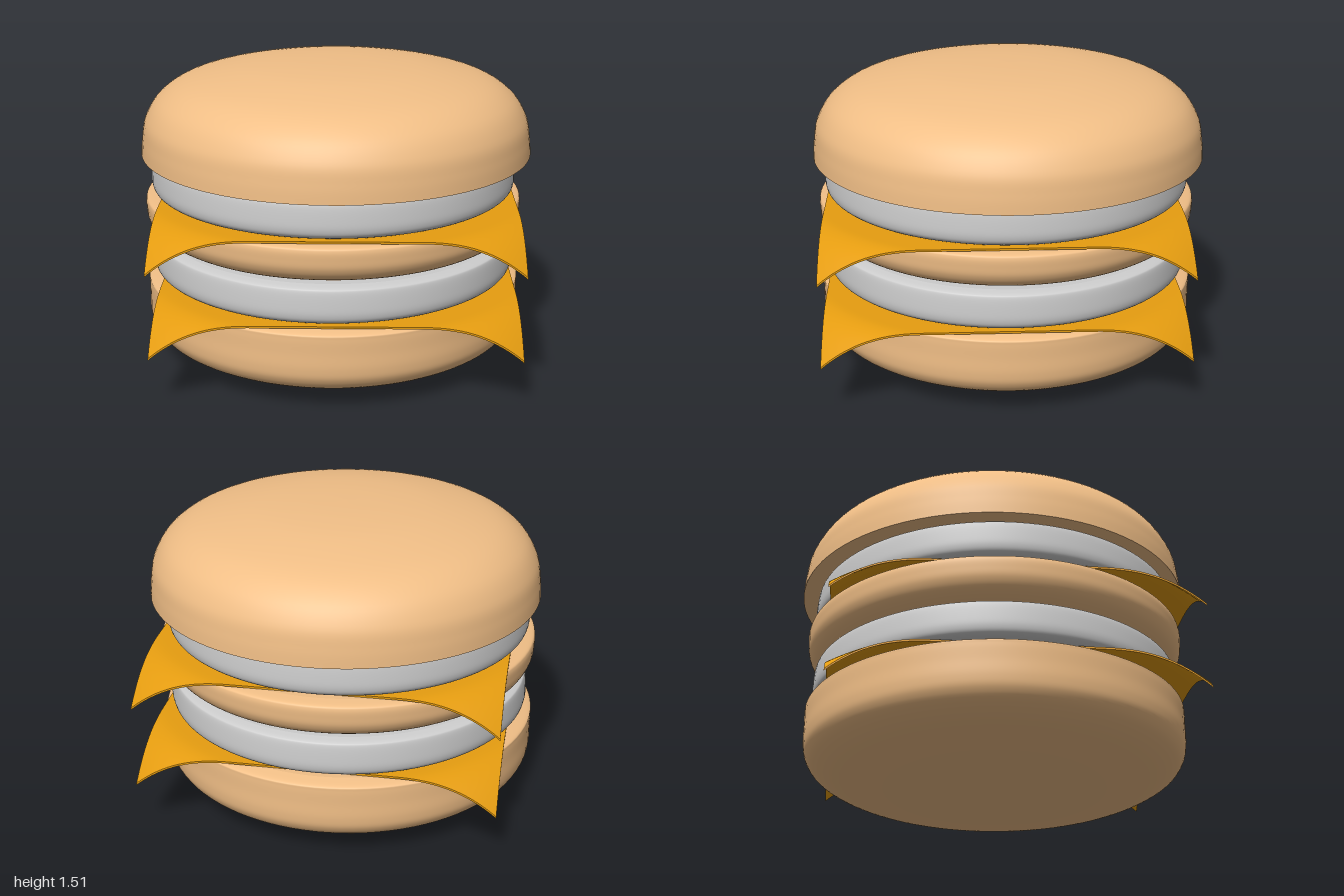
import * as THREE from 'three';
import { mergeGeometries } from 'three/addons/utils/BufferGeometryUtils.js';

const bun = new THREE.MeshStandardMaterial({ color: 0xf0be86 });
const patty = new THREE.MeshStandardMaterial({ color: 0xcccccc });
const cheese = new THREE.MeshStandardMaterial({ color: 0xe69d10, side: THREE.DoubleSide });

// Round layer: each profile is a smooth run of [radius, y], with sharp edges between runs
function roundLayer(name, material, runs, x = 0, z = 0) {
  const parts = runs.map((run) => {
    const pts = run.map(([r, y]) => new THREE.Vector2(r, y));
    const profile = pts.length > 2 ? new THREE.SplineCurve(pts).getPoints(pts.length * 5) : pts;
    profile.forEach((p) => { p.x = Math.max(p.x, 0); });
    return new THREE.LatheGeometry(profile, 96);
  });
  const mesh = new THREE.Mesh(mergeGeometries(parts), material);
  mesh.name = name;
  mesh.position.set(x, 0, z);
  return mesh;
}

// Patty: a disc with softly rounded rims
function pattyLayer(name, y) {
  return roundLayer(name, patty, [
    [[0, y], [0.82, y]],
    [[0.82, y], [0.885, y + 0.008], [0.922, y + 0.028], [0.935, y + 0.06],
      [0.935, y + 0.11], [0.928, y + 0.175], [0.915, y + 0.192], [0.875, y + 0.202]],
    [[0.875, y + 0.202], [0, y + 0.205]],
  ], -0.015, 0.01);
}

// Cheese slice: a thin square whose corners droop beyond the bun
function cheeseSlice(name, y) {
  const geo = new THREE.BoxGeometry(1.78, 0.01, 1.78, 64, 1, 64);
  const pos = geo.attributes.position;
  for (let i = 0; i < pos.count; i++) {
    const overhang = Math.max(0, Math.hypot(pos.getX(i), pos.getZ(i)) - 0.98);
    pos.setY(i, pos.getY(i) - 0.17 * Math.pow(overhang / 0.279, 2));
  }
  geo.computeVertexNormals();
  const mesh = new THREE.Mesh(geo, cheese);
  mesh.name = name;
  mesh.position.set(0.015, y, 0.04);
  return mesh;
}

export function createModel() {
  const group = new THREE.Group();
  group.name = 'doubleCheeseburger';
  group.add(
    // Bottom bun with a gently domed base
    roundLayer('bottomBun', bun, [
      [[0, 0.003], [0.3, 0.009], [0.6, 0.031], [0.8, 0.069], [0.91, 0.118],
        [0.955, 0.17], [0.968, 0.23], [0.968, 0.31], [0.968, 0.385], [0.96, 0.408], [0.9, 0.425]],
      [[0.9, 0.425], [0, 0.428]],
    ], -0.015, 0.01),
    cheeseSlice('lowerCheese', 0.431),
    pattyLayer('lowerPatty', 0.431),
    // Middle bun
    roundLayer('middleBun', bun, [
      [[0, 0.634], [0.8, 0.636]],
      [[0.8, 0.636], [0.87, 0.65], [0.93, 0.684], [0.96, 0.73], [0.968, 0.78],
        [0.968, 0.82], [0.955, 0.838], [0.9, 0.848]],
      [[0.9, 0.848], [0, 0.85]],
    ], -0.015, 0.01),
    cheeseSlice('upperCheese', 0.853),
    pattyLayer('upperPatty', 0.853),
    // Domed top bun with a flat cut underside
    roundLayer('topBun', bun, [
      [[0, 1.055], [1, 1.055]],
      [[1, 1.055], [0.993, 1.14], [0.972, 1.24], [0.9, 1.345], [0.76, 1.425],
        [0.5, 1.482], [0.25, 1.505], [0, 1.511]],
    ]),
  );
  return group;
}
